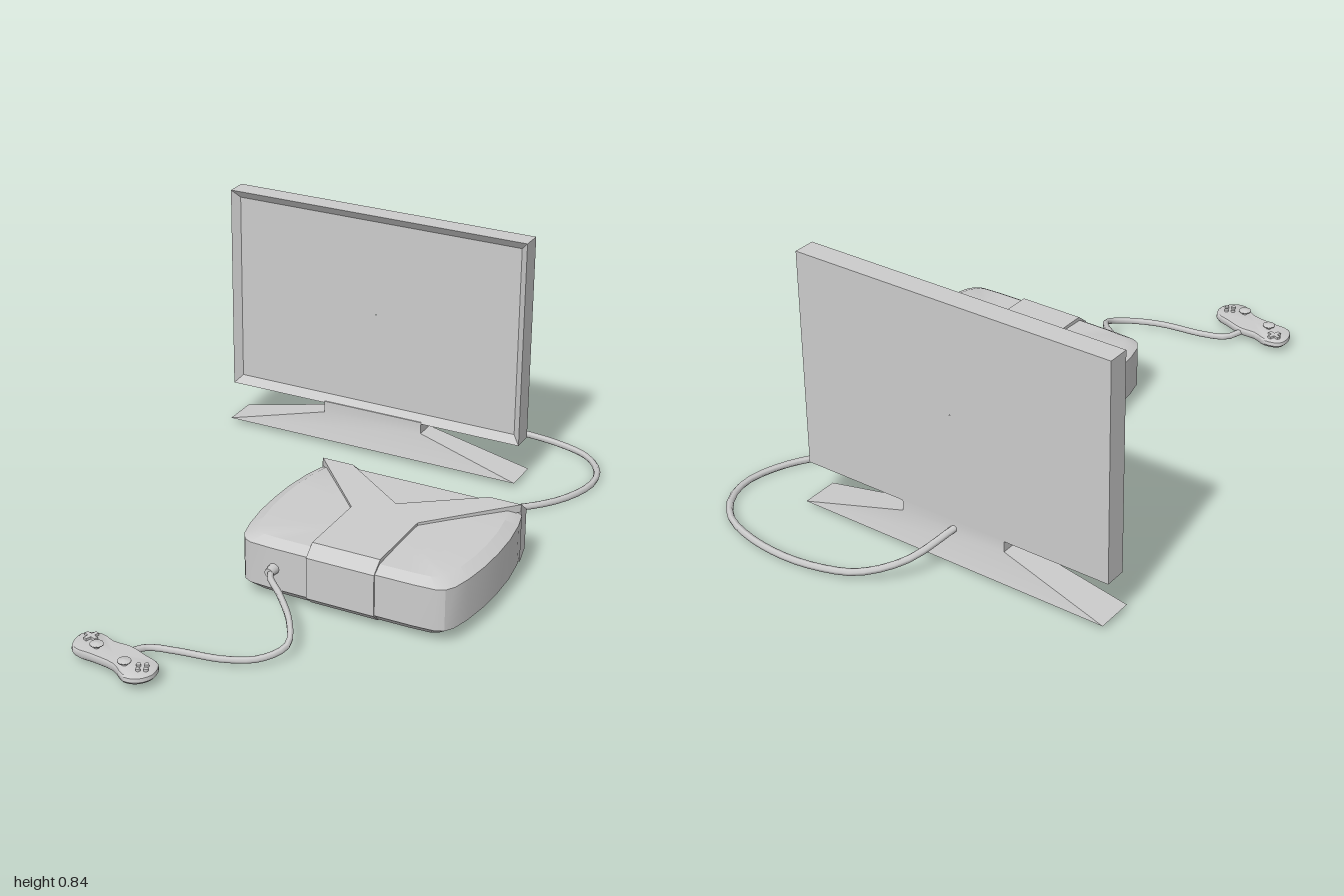
import * as THREE from 'three';
import { toCreasedNormals } from 'three/addons/utils/BufferGeometryUtils.js';

const grey = new THREE.MeshStandardMaterial({ color: 0xcccccc });

function add(parent, name, geometry, x = 0, y = 0, z = 0) {
  const mesh = new THREE.Mesh(geometry, grey);
  mesh.name = name;
  mesh.position.set(x, y, z);
  parent.add(mesh);
  return mesh;
}

// Stacks scaled copies of a ring [x, z] at sections [y, scaleX, scaleZ]
function loft(ring, sections, crease = 0.45) {
  const pos = [], index = [], n = ring.length;
  for (const [y, sx, sz] of sections) for (const [x, z] of ring) pos.push(x * sx, y, z * sz);
  for (let i = 0; i < sections.length - 1; i++) {
    for (let j = 0; j < n; j++) {
      const a = i * n + j, b = i * n + (j + 1) % n, c = a + n, d = b + n;
      index.push(a, c, b, b, c, d);
    }
  }
  const g = new THREE.BufferGeometry();
  g.setAttribute('position', new THREE.Float32BufferAttribute(pos, 3));
  g.setIndex(index);
  return toCreasedNormals(g, crease);
}

// Profile of [z, y] points swept along x from x0 to x1
function sweepX(points, x0, x1) {
  const shape = new THREE.Shape(points.map(([z, y]) => new THREE.Vector2(-z, y)));
  const g = new THREE.ExtrudeGeometry(shape, { depth: x1 - x0, bevelEnabled: false });
  return g.rotateY(Math.PI / 2).translate(x0, 0, 0);
}

function cable(points, segments, radius) {
  const curve = new THREE.CatmullRomCurve3(points.map(p => new THREE.Vector3(...p)));
  return new THREE.TubeGeometry(curve, segments, radius, 6);
}

const square = [[1, -1], [1, 1], [-1, 1], [-1, -1]];
const tiny = 0.001;

function makeTelevision() {
  const tv = new THREE.Group();
  tv.name = 'television';
  // Panel with a sloped frame around the recessed screen
  const panel = loft(square, [
    [-0.035, tiny, tiny], [-0.035, 0.53, 0.35], [0.035, 0.53, 0.35],
    [0.015, 0.505, 0.323], [0.015, tiny, tiny],
  ]).rotateX(Math.PI / 2);
  add(tv, 'screen', panel, 0, 0.49, 0);
  // Wide wedge foot with a short neck
  add(tv, 'stand', loft(square, [
    [0.015, tiny, tiny], [0.015, 0.53, 0.06], [0.105, 0.18, 0.035],
    [0.145, 0.18, 0.035], [0.145, tiny, tiny],
  ]));
  tv.position.set(-0.13, 0, -0.683);
  return tv;
}

function makeConsole() {
  const unit = new THREE.Group();
  unit.name = 'console';
  // Bowed outline mirrored from one quarter
  const q = [[0.373, 0], [0.37, 0.09], [0.358, 0.18], [0.343, 0.24], [0.325, 0.268], [0.3, 0.28], [0.23, 0.284], [0, 0.285]];
  const ring = [
    ...q,
    ...q.slice(0, -1).reverse().map(([x, z]) => [-x, z]),
    ...q.slice(1).map(([x, z]) => [-x, -z]),
    ...q.slice(1, -1).reverse().map(([x, z]) => [x, -z]),
  ];
  add(unit, 'consoleBody', loft(ring, [
    [0.003, tiny, tiny], [0.006, 0.6, 0.6], [0.014, 0.9, 0.88], [0.045, 1, 1],
    [0.18, 1, 1], [0.2, 0.9, 0.89], [0.204, 0.5, 0.5], [0.205, tiny, tiny],
  ]));
  // Raised Y-shaped lid panel
  const half = [[0.11, 0.25], [0.11, 0], [0.337, -0.25], [0.232, -0.25], [0, -0.08]];
  const outline = [...half, ...half.slice(0, -1).reverse().map(([x, z]) => [-x, z])];
  const lid = new THREE.ExtrudeGeometry(
    new THREE.Shape(outline.map(([x, z]) => new THREE.Vector2(x, -z))),
    { depth: 0.025, bevelEnabled: false }).rotateX(-Math.PI / 2);
  add(unit, 'lidPanel', lid, 0, 0.188, 0);
  // Panel ends folding over the front and back
  const fold = [[0.25, 0.213], [0.29, 0.18], [0.29, 0.045], [0.255, 0.014], [0.24, 0.1]];
  add(unit, 'frontPanel', sweepX(fold, -0.11, 0.11));
  const backFold = fold.map(([z, y]) => [-z, y]);
  add(unit, 'rightRearPanel', sweepX(backFold, -0.337, -0.232));
  add(unit, 'leftRearPanel', sweepX(backFold, 0.232, 0.337));
  // Sockets
  const plug = new THREE.CylinderGeometry(0.014, 0.018, 0.035, 12).rotateX(Math.PI / 2);
  add(unit, 'controllerPlug', plug, -0.22, 0.113, 0.298);
  add(unit, 'videoSocket', new THREE.BoxGeometry(0.04, 0.025, 0.015), 0.003, 0.085, -0.284);
  unit.position.set(0.282, 0, 0.1);
  return unit;
}

function makeController() {
  const pad = new THREE.Group();
  pad.name = 'controller';
  const cx = -0.16, cz = 0.91;
  const pts = [[-0.3, 0.84], [-0.25, 0.826], [-0.2, 0.845], [-0.14, 0.846], [-0.075, 0.87], [-0.025, 0.89], [-0.01, 0.945],
    [-0.035, 0.985], [-0.075, 0.995], [-0.135, 0.955], [-0.22, 0.94], [-0.285, 0.932], [-0.307, 0.885]];
  const curve = new THREE.CatmullRomCurve3(pts.map(([x, z]) => new THREE.Vector3(x - cx, 0, z - cz)), true);
  const ring = curve.getPoints(39).slice(0, -1).map(p => [p.x, p.z]);
  add(pad, 'controllerBody', loft(ring, [
    [0.012, tiny, tiny], [0.013, 0.82, 0.75], [0.018, 0.94, 0.9], [0.028, 1, 1],
    [0.04, 0.99, 0.98], [0.044, 0.95, 0.92], [0.045, tiny, tiny],
  ], 0.7));
  // Thumbsticks
  const stick = new THREE.LatheGeometry([[0.009, 0], [0.009, 0.009], [0.02, 0.011], [0.02, 0.015], [0, 0.018]]
    .map(p => new THREE.Vector2(...p)), 14);
  add(pad, 'rightThumbstick', stick, -0.222 - cx, 0.043, 0.902 - cz);
  add(pad, 'leftThumbstick', stick, -0.105 - cx, 0.043, 0.942 - cz);
  // Direction pad and button cluster share the tilt of the controller
  const tilt = -0.33;
  for (const r of [tilt, tilt + Math.PI / 2]) {
    add(pad, 'directionPad', new THREE.BoxGeometry(0.046, 0.012, 0.013), -0.265 - cx, 0.046, 0.864 - cz).rotation.y = r;
  }
  for (let i = 0; i < 4; i++) {
    const a = -tilt + i * Math.PI / 2;
    add(pad, 'button', new THREE.CylinderGeometry(0.007, 0.007, 0.012, 10),
      -0.05 - cx + 0.016 * Math.cos(a), 0.046, 0.936 - cz + 0.016 * Math.sin(a));
  }
  pad.position.set(cx, 0, cz);
  return pad;
}

export function createModel() {
  const model = new THREE.Group();
  model.name = 'gamingSetup';
  model.add(makeTelevision(), makeConsole(), makeController());
  // Lead from the console to the controller
  add(model, 'controllerCable', cable([
    [0.063, 0.113, 0.39], [0.075, 0.112, 0.43], [0.14, 0.1, 0.49], [0.215, 0.07, 0.57], [0.245, 0.042, 0.64], [0.2, 0.025, 0.71],
    [0.11, 0.02, 0.755], [-0.04, 0.019, 0.78], [-0.115, 0.022, 0.805], [-0.145, 0.028, 0.86],
  ], 32, 0.01));
  // Lead from the console to the television
  add(model, 'videoCable', cable([
    [0.285, 0.087, -0.17], [0.285, 0.06, -0.26], [0.345, 0.03, -0.355], [0.5, 0.013, -0.5], [0.585, 0.01, -0.62],
    [0.622, 0.01, -0.75], [0.6, 0.01, -0.85], [0.53, 0.01, -0.93], [0.41, 0.01, -0.975], [0.26, 0.012, -0.99],
    [0.13, 0.018, -0.975], [0.03, 0.03, -0.945], [-0.075, 0.065, -0.86], [-0.14, 0.12, -0.7],
  ], 40, 0.011));
  return model;
}
